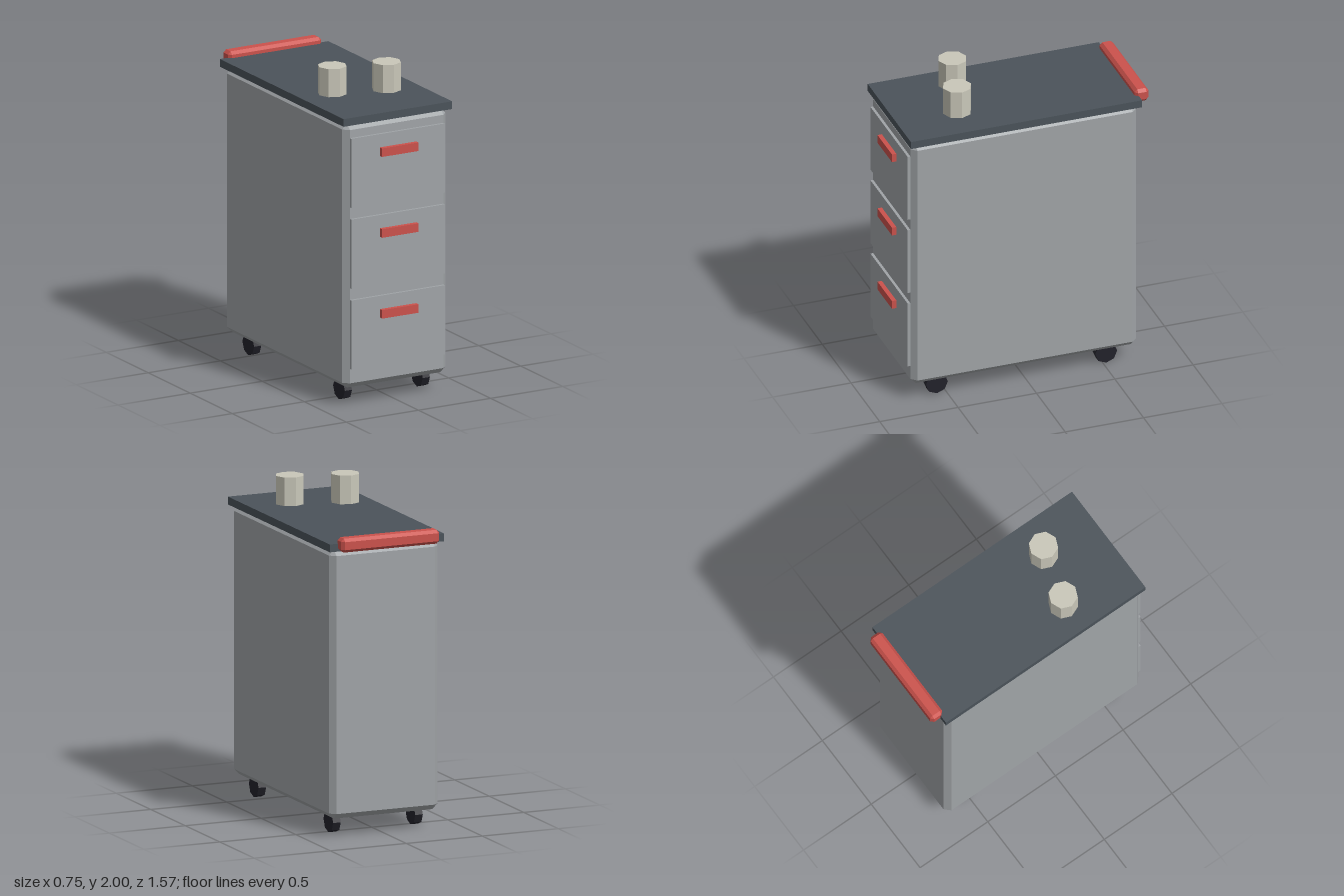
import * as THREE from 'three';
import { ConvexGeometry } from 'three/addons/geometries/ConvexGeometry.js';

const mat = (name, color) => {
  const m = new THREE.MeshStandardMaterial({ color, flatShading: true });
  m.name = name;
  return m;
};

// Box with every edge cut at 45 degrees by c
function chamferBox(w, h, d, c) {
  const points = [];
  for (const sx of [-1, 1]) for (const sy of [-1, 1]) for (const sz of [-1, 1]) {
    const x = w / 2, y = h / 2, z = d / 2;
    for (const [a, b, e] of [[0, c, c], [c, 0, c], [c, c, 0]]) {
      points.push(new THREE.Vector3(sx * (x - a), sy * (y - b), sz * (z - e)));
    }
  }
  return new ConvexGeometry(points);
}

export function createModel() {
  const group = new THREE.Group();
  group.name = 'drawerCabinet';

  const grey = mat('cabinetGrey', 0xa0a4a7);
  const slate = mat('slateTop', 0x4b535a);
  const red = mat('handleRed', 0xcb524c);
  const cream = mat('cupCream', 0xc9c7b9);
  const black = mat('wheelBlack', 0x22222a);

  const add = (name, geometry, material, x, y, z) => {
    const mesh = new THREE.Mesh(geometry, material);
    mesh.name = name;
    mesh.position.set(x, y, z);
    group.add(mesh);
    return mesh;
  };

  // Cabinet, worktop and rear push rail
  add('cabinetBody', chamferBox(0.715, 1.65, 1.44, 0.034), grey, 0, 0.94, 0.02);
  add('worktop', new THREE.BoxGeometry(0.752, 0.048, 1.475), slate, 0, 1.787, 0.018);
  add('pushRail', chamferBox(0.645, 0.085, 0.088, 0.018), red, 0, 1.807, -0.741);

  // Three drawer fronts with bar handles
  const drawer = new THREE.BoxGeometry(0.648, 0.432, 0.03);
  const handle = new THREE.BoxGeometry(0.252, 0.053, 0.03);
  [0.455, 0.96, 1.465].forEach((y, i) => {
    add(`drawerFront${i + 1}`, drawer, grey, 0, y, 0.742);
    add(`drawerHandle${i + 1}`, handle, red, 0, y + 0.107, 0.77);
  });

  // Four castor wheels
  const wheel = new THREE.CylinderGeometry(0.07, 0.07, 0.05, 8).rotateZ(Math.PI / 2);
  for (const x of [-0.27, 0.27]) for (const z of [-0.52, 0.56]) {
    add(`${z > 0 ? 'front' : 'rear'}${x > 0 ? 'Left' : 'Right'}Wheel`, wheel, black, x, 0.07, z);
  }

  // Two cups resting above the worktop
  const cup = new THREE.CylinderGeometry(0.089, 0.089, 0.175, 8);
  add('rightCup', cup, cream, -0.182, 1.9125, 0.287);
  add('leftCup', cup, cream, 0.142, 1.9125, 0.376);

  return group;
}
